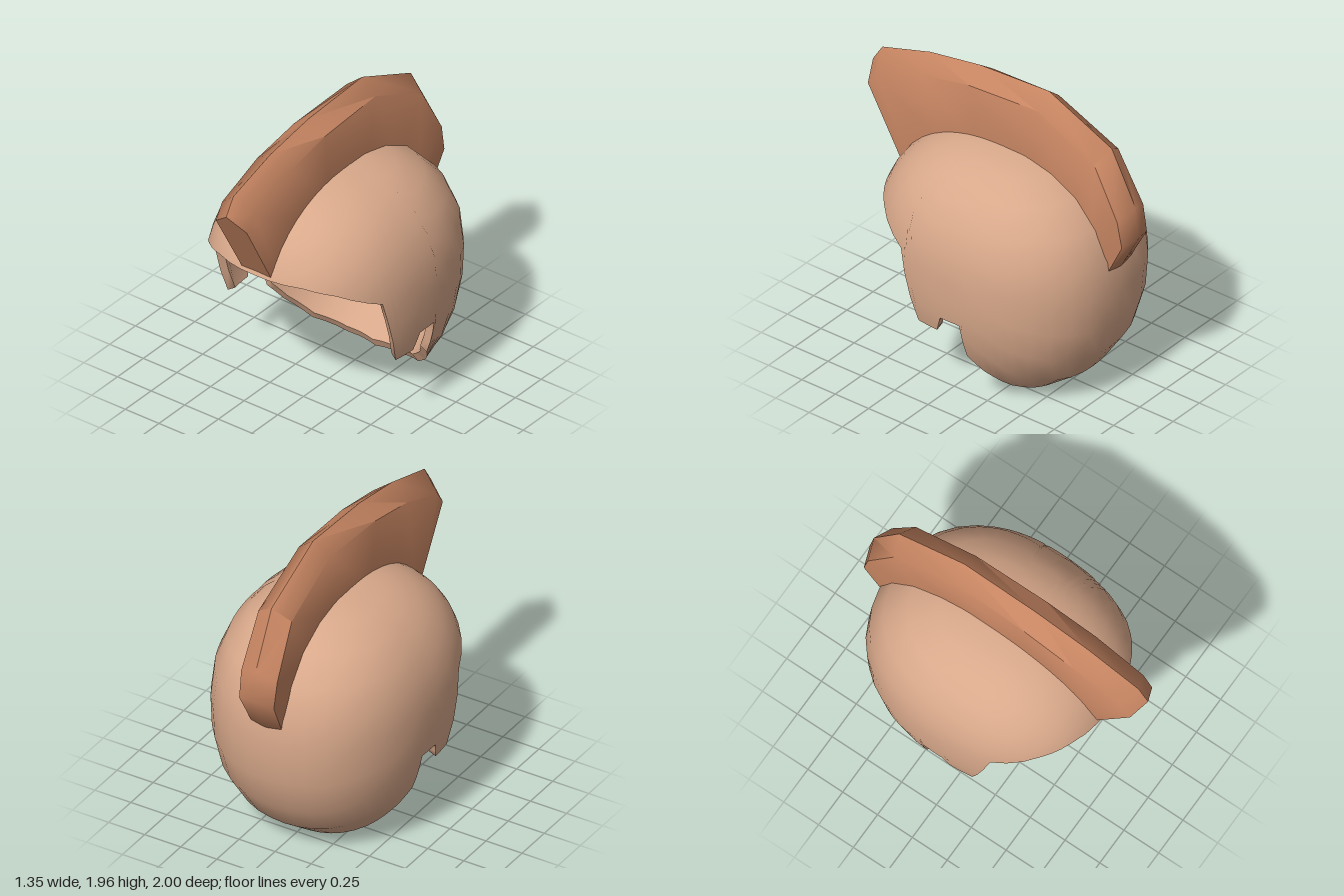
import * as THREE from 'three';
import { toCreasedNormals } from 'three/addons/utils/BufferGeometryUtils.js';

// Shell is a rounded superellipsoid around this centre
const C = new THREE.Vector3(0, 0.82, -0.05);
const WIDTH = 0.675, UP = 0.71, DOWN = 0.89, DEPTH = 0.82, POW = 2.3;
const INNER = 0.93;

const term = (v, size) => Math.pow(Math.abs(v / size), POW);

// Point on the shell in a given direction, relative to the centre
function shellPoint(phi, theta) {
  const d = new THREE.Vector3(Math.sin(phi) * Math.sin(theta), Math.cos(theta), Math.cos(phi) * Math.sin(theta));
  const k = term(d.x, WIDTH) + term(d.y, d.y > 0 ? UP : DOWN) + term(d.z, DEPTH);
  return d.multiplyScalar(Math.pow(k, -1 / POW));
}

function shellNormal(p) {
  const g = (v, s) => Math.sign(v) * Math.pow(Math.abs(v / s), POW - 1) / s;
  return new THREE.Vector3(g(p.x, WIDTH), g(p.y, p.y > 0 ? UP : DOWN), g(p.z, DEPTH)).normalize();
}

// Rim seen from the side, from brow to nape, as [z, y]
const RIM = [
  [0.73, 1.11], [0.66, 1.1], [0.55, 1.055], [0.3, 0.93], [0.17, 0.47], [0.02, 0.47], [-0.02, 0.58],
  [-0.16, 0.58], [-0.17, 0.34], [-0.25, 0.23], [-0.35, 0.1], [-0.44, 0.03], [-0.45, 0],
];

// Rim as [azimuth, polar angle] columns all the way round
function rimColumns() {
  const corners = RIM.map(([z, y], i) => {
    const dy = y - C.y, dz = z - C.z;
    const rest = 1 - term(dy, dy > 0 ? UP : DOWN) - term(dz, DEPTH);
    const end = i === 0 || i === RIM.length - 1;
    const x = end ? 0 : WIDTH * Math.pow(Math.max(rest, 0), 1 / POW);
    return [Math.atan2(x, dz), Math.atan2(Math.hypot(x, dz), dy)];
  });
  const half = [];
  for (let i = 0; i < corners.length - 1; i++) {
    for (let s = 0; s < 3; s++) {
      half.push([0, 1].map((k) => THREE.MathUtils.lerp(corners[i][k], corners[i + 1][k], s / 3)));
    }
  }
  half.push(corners[corners.length - 1]);
  const mirrored = half.slice(0, -1).reverse().map(([p, t]) => [2 * Math.PI - p, t]);
  return half.concat(mirrored);
}

// Surface from rows of points, with optional normals
function gridGeometry(rows, normals) {
  const n = rows[0].length, index = [];
  for (let i = 0; i < rows.length - 1; i++) {
    for (let j = 0; j < n - 1; j++) {
      const a = i * n + j, b = a + n;
      index.push(a, b, b + 1, a, b + 1, a + 1);
    }
  }
  const g = new THREE.BufferGeometry().setFromPoints(rows.flat());
  g.setIndex(index);
  if (normals) {
    g.setAttribute('normal', new THREE.Float32BufferAttribute(normals.flat().flatMap((v) => v.toArray()), 3));
  } else {
    g.computeVertexNormals();
  }
  return g;
}

function crestGeometry() {
  // Stations from front to nape: ridge z, y, root z, y, half width
  const stations = [
    [1.0, 1.66, 0.7, 1.11, 0.115],
    [0.93, 1.77, 0.65, 1.13, 0.12],
    [0.57, 1.88, 0.42, 1.36, 0.12],
    [0.2, 1.94, 0.15, 1.45, 0.115],
    [-0.32, 1.965, -0.25, 1.45, 0.107],
    [-0.79, 1.75, -0.55, 1.3, 0.115],
    [-0.97, 1.4, -0.72, 1.1, 0.125],
    [-1.0, 1.21, -0.76, 1.0, 0.12],
    [-0.86, 0.95, -0.74, 0.91, 0.105],
  ];
  const points = [], index = [], n = 5;
  for (const [pz, py, bz, by, w] of stations) {
    const sz = THREE.MathUtils.lerp(pz, bz, 0.17), sy = THREE.MathUtils.lerp(py, by, 0.17);
    const rw = w * 0.93;
    points.push(
      new THREE.Vector3(0, py, pz), new THREE.Vector3(w, sy, sz), new THREE.Vector3(rw, by, bz),
      new THREE.Vector3(-rw, by, bz), new THREE.Vector3(-w, sy, sz));
  }
  const last = (stations.length - 1) * n;
  for (let i = 0; i < stations.length - 1; i++) {
    for (let j = 0; j < n; j++) {
      const a = i * n + j, d = i * n + (j + 1) % n;
      index.push(a, d, d + n, a, d + n, a + n);
    }
  }
  // End caps
  for (let j = 1; j < n - 1; j++) {
    index.push(0, j + 1, j, last, last + j, last + j + 1);
  }
  const g = new THREE.BufferGeometry().setFromPoints(points);
  g.setIndex(index);
  return toCreasedNormals(g, 0.95);
}

export function createModel() {
  const shellTan = new THREE.MeshStandardMaterial({ color: 0xd8a88a });
  shellTan.name = 'shellTan';
  const crestBrown = new THREE.MeshStandardMaterial({ color: 0xc58461 });
  crestBrown.name = 'crestBrown';

  const model = new THREE.Group();
  model.name = 'crestedHelmet';
  const add = (name, geometry, material, parent) => {
    const mesh = new THREE.Mesh(geometry, material);
    mesh.name = name;
    parent.add(mesh);
  };

  // Helmet bowl with cheek guards and nape, as outer skin, lining and rim
  const helmet = new THREE.Group();
  helmet.name = 'helmet';
  const columns = rimColumns(), ROWS = 10;
  const outer = [];
  for (let i = 0; i <= ROWS; i++) {
    outer.push(columns.map(([phi, theta]) => shellPoint(phi, theta * i / ROWS)));
  }
  const normals = outer.map((row) => row.map(shellNormal));
  const inner = outer.map((row) => row.map((p) => p.clone().multiplyScalar(INNER))).reverse();
  const innerNormals = normals.map((row) => row.map((v) => v.clone().negate())).reverse();
  add('outerShell', gridGeometry(outer, normals), shellTan, helmet);
  add('innerLining', gridGeometry(inner, innerNormals), shellTan, helmet);
  add('rim', gridGeometry([outer[ROWS], inner[0]]), shellTan, helmet);
  helmet.position.copy(C);
  model.add(helmet);

  // Ridged crest running from brow to nape
  add('crest', crestGeometry(), crestBrown, model);
  return model;
}
